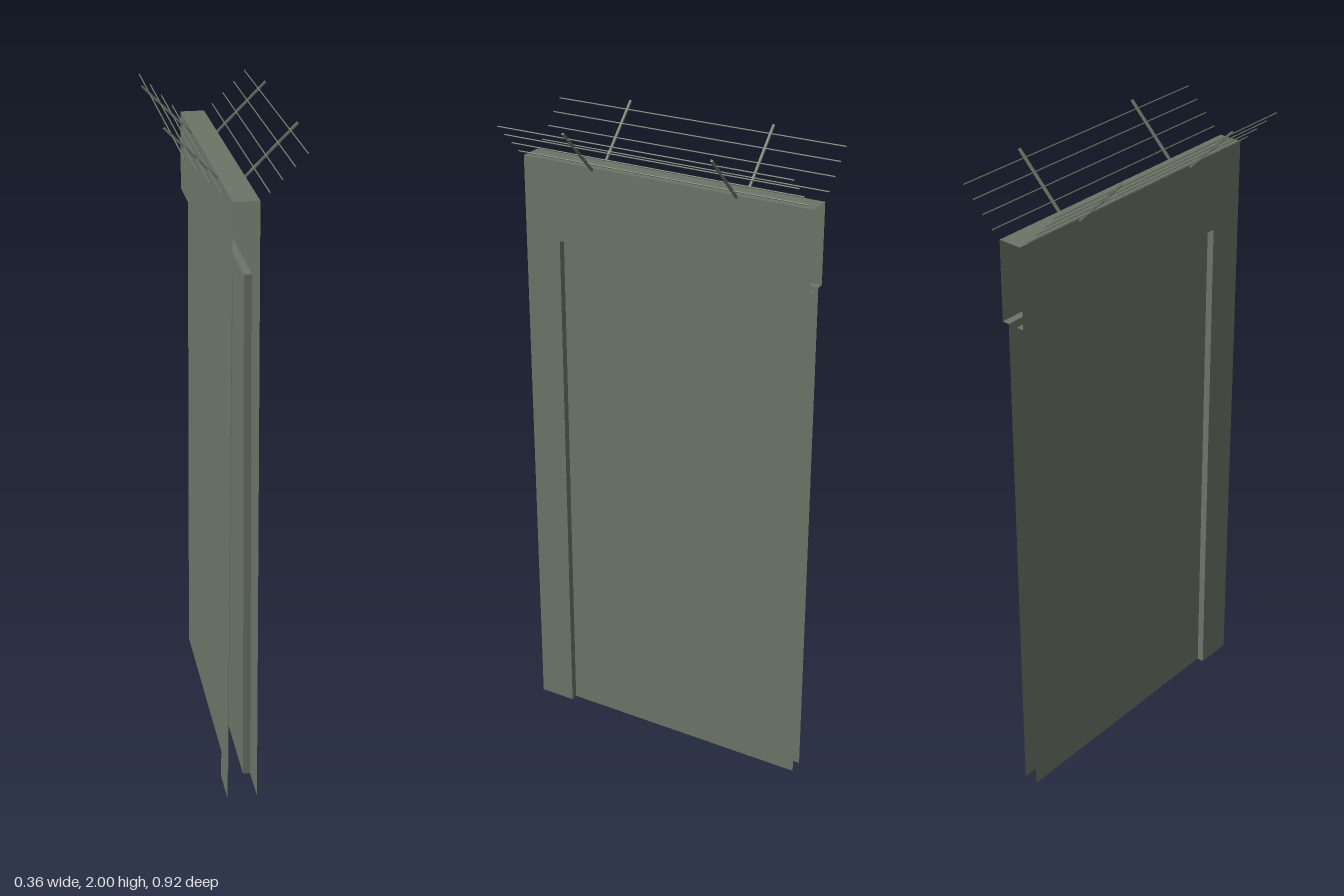
import * as THREE from 'three';

const HALF = 0.46;      // half length along z
const TOP = 1.86;       // top of the wall
const OPEN = 1.62;      // top of the recessed panel
const POST = 0.345;     // z where the recessed panel begins
const STEP = 0.022;     // depth of the recess

// walls lean inwards towards the top
const outer = (y) => 0.045 - 0.009 * y / TOP;
const inner = (y) => outer(y) - STEP;

export function createModel() {
  const group = new THREE.Group();
  const steel = new THREE.MeshStandardMaterial({ color: 0x6c7568, side: THREE.DoubleSide });
  steel.name = 'grey green steel';

  const add = (name, geometry, parent = group) => {
    const mesh = new THREE.Mesh(geometry, steel);
    mesh.name = name;
    parent.add(mesh);
    return mesh;
  };

  // flat four-cornered sheet; corners run counter-clockwise seen from outside
  const sheet = (name, corners, mirrored, parent) => {
    const pts = corners.map(([x, y, z]) => [mirrored ? -x : x, y, z]);
    const geometry = new THREE.BufferGeometry();
    geometry.setAttribute('position', new THREE.Float32BufferAttribute(pts.flat(), 3));
    geometry.setIndex(mirrored ? [0, 2, 1, 0, 3, 2] : [0, 1, 2, 0, 2, 3]);
    geometry.computeVertexNormals();
    add(name, geometry, parent);
  };

  // upright sheet spanning z0 (front) to z1 (back)
  const wall = (name, xAt, y0, y1, z0, z1, mirrored, parent) => sheet(name, [
    [xAt(y0), y0, z0], [xAt(y0), y0, z1], [xAt(y1), y1, z1], [xAt(y1), y1, z0],
  ], mirrored, parent);

  for (const side of [1, -1]) {
    const m = side < 0;
    const half = new THREE.Group();
    half.name = m ? 'rightHalf' : 'leftHalf';
    group.add(half);

    // hollow sheet wall: post, header and recessed panel joined by steps
    wall('post', outer, 0, OPEN, HALF, POST, m, half);
    wall('header', outer, OPEN, TOP, HALF, -HALF, m, half);
    wall('recessedPanel', inner, 0, OPEN, POST, -HALF, m, half);
    sheet('postStep', [
      [outer(0), 0, POST], [inner(0), 0, POST], [inner(OPEN), OPEN, POST], [outer(OPEN), OPEN, POST],
    ], m, half);
    sheet('headerStep', [
      [inner(OPEN), OPEN, POST], [inner(OPEN), OPEN, -HALF],
      [outer(OPEN), OPEN, -HALF], [outer(OPEN), OPEN, POST],
    ], m, half);

    // slanted arms carrying the wires
    for (const z of [0.23, -0.23]) {
      const arm = add('wireArm', new THREE.BoxGeometry(0.006, 0.215, 0.007), half);
      arm.position.set(side * 0.104, 1.922, z);
      arm.rotation.z = -side * Math.PI / 4;
    }

    // four straight wires
    for (let i = 0; i < 4; i++) {
      const x = 0.061 + i * 0.0327;
      const wire = add('wire', new THREE.BoxGeometry(0.003, 0.003, 2 * HALF), half);
      wire.position.set(side * x, x + 1.819, 0);
      wire.rotation.z = Math.PI / 4;
    }
  }

  // top cover
  const w = outer(TOP);
  sheet('topCover', [[-w, TOP, HALF], [w, TOP, HALF], [w, TOP, -HALF], [-w, TOP, -HALF]], false, group);

  return group;
}
